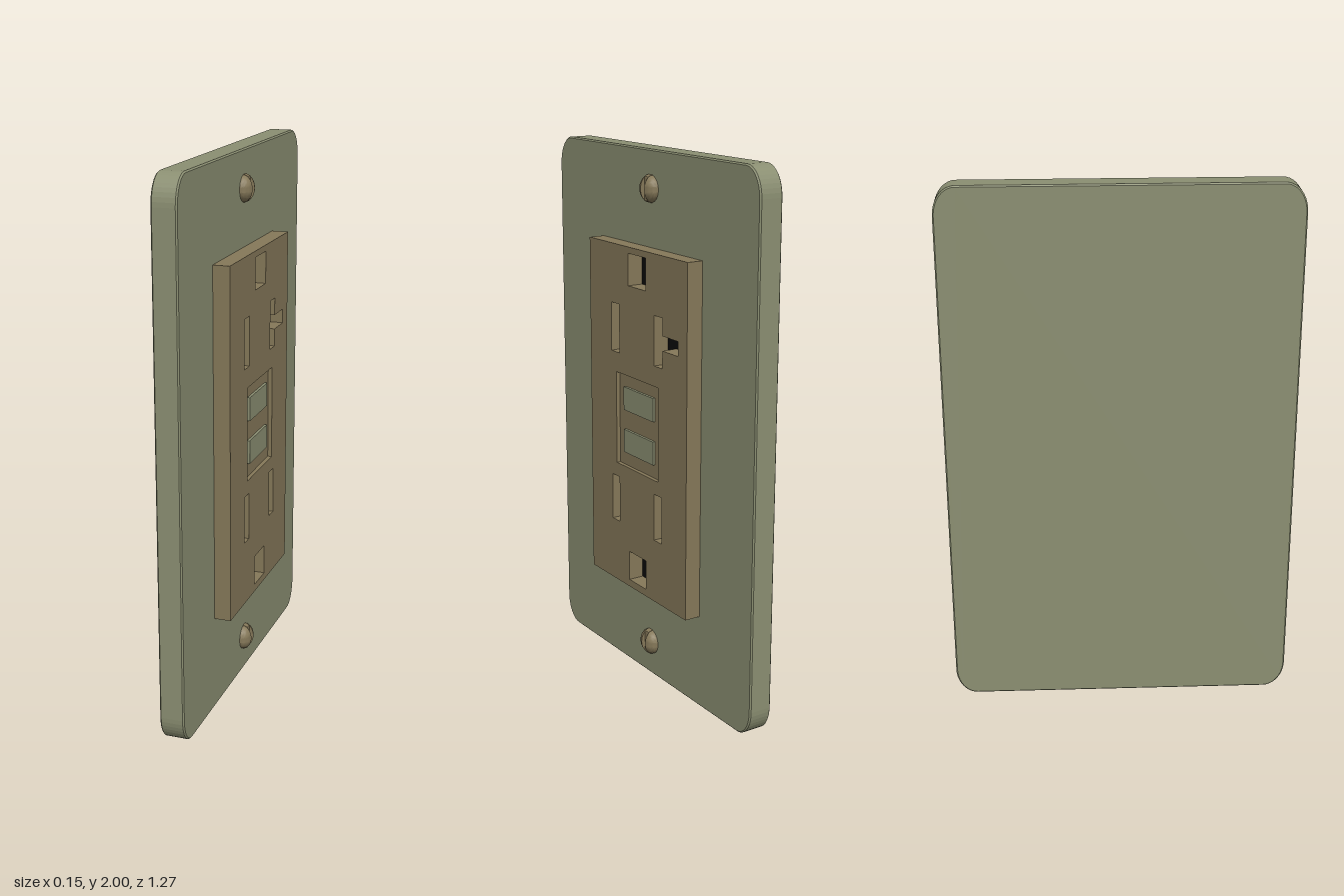
import * as THREE from 'three';
import { toCreasedNormals } from 'three/addons/utils/BufferGeometryUtils.js';
import { ParametricGeometry } from 'three/addons/geometries/ParametricGeometry.js';

const plateMat = new THREE.MeshStandardMaterial({ color: 0x8b8f72 });
const faceMat = new THREE.MeshStandardMaterial({ color: 0x857859 });
const darkMat = new THREE.MeshStandardMaterial({ color: 0x0a0a0a });
const screwMat = new THREE.MeshStandardMaterial({ color: 0x857859, side: THREE.DoubleSide });

// Built lying in XY and facing +z, then turned to face +x
const PLATE_FRONT = 0.015, FACE_FRONT = 0.076;

function polygon(points) {
  return new THREE.Shape(points.map(([x, y]) => new THREE.Vector2(x, y)));
}

function rect(x0, x1, y0, y1) {
  return polygon([[x0, y0], [x1, y0], [x1, y1], [x0, y1]]);
}

function slab(name, shape, z0, z1, material) {
  const geo = new THREE.ExtrudeGeometry(shape, { depth: z1 - z0, bevelEnabled: false });
  geo.translate(0, 0, z0);
  const mesh = new THREE.Mesh(geo, material);
  mesh.name = name;
  return mesh;
}

function wallPlate() {
  const b = 0.005, w = 0.637 - b, y0 = b, y1 = 2 - b, rx = 0.075, ry = 0.1;
  const s = new THREE.Shape();
  s.moveTo(-w + rx, y0);
  s.lineTo(w - rx, y0);
  s.absellipse(w - rx, y0 + ry, rx, ry, -Math.PI / 2, 0, false);
  s.absellipse(w - rx, y1 - ry, rx, ry, 0, Math.PI / 2, false);
  s.absellipse(-w + rx, y1 - ry, rx, ry, Math.PI / 2, Math.PI, false);
  s.absellipse(-w + rx, y0 + ry, rx, ry, Math.PI, Math.PI * 1.5, false);
  const geo = new THREE.ExtrudeGeometry(s, {
    depth: 0.09 - 2 * b, bevelSize: b, bevelThickness: b, bevelSegments: 1, curveSegments: 5,
  });
  geo.translate(0, 0, -0.075 + b);
  const mesh = new THREE.Mesh(geo, plateMat);
  mesh.name = 'wallPlate';
  return mesh;
}

// Domed screw head: two half domes either side of a vertical slot
function screw(y) {
  const r = 0.049, h = 0.036, slot = 0.012, floor = 0.019;
  const group = new THREE.Group();
  group.name = 'screw';
  const dome = toCreasedNormals(new ParametricGeometry((a, b, target) => {
    // the first step closes the slot wall, the rest sweep the dome
    const t = Math.max(0, (a * 9 - 1) / 8);
    const x = slot + (r - slot) * Math.sin(t * Math.PI / 2);
    const rad = a < 0.01 ? 0 : Math.sqrt(Math.max(0, r * r - x * x));
    target.set(x, rad * Math.cos(Math.PI * b), (h / r) * rad * Math.sin(Math.PI * b));
  }, 9, 16), 0.7);
  for (const turn of [0, Math.PI]) {
    const half = new THREE.Mesh(dome, screwMat);
    half.name = 'screwHalf';
    half.rotation.z = turn;
    group.add(half);
  }
  // Slot floor follows the dome outline, cut flat
  const outline = [];
  for (let i = 0; i <= 24; i++) {
    const t = Math.PI * i / 24;
    outline.push([r * Math.cos(t), Math.min(floor, h * Math.sin(t))]);
  }
  const core = slab('screwSlotFloor', polygon(outline), -slot, slot, screwMat);
  // outline x -> y, outline y -> z, depth -> x
  core.geometry.applyMatrix4(new THREE.Matrix4().set(0, 0, 1, 0, 1, 0, 0, 0, 0, 1, 0, 0, 0, 0, 0, 1));
  group.add(core);
  group.position.set(0, y, PLATE_FRONT);
  return group;
}

export function createModel() {
  const model = new THREE.Group();
  model.name = 'wallOutlet';
  const body = new THREE.Group();
  body.name = 'outletBody';
  body.rotation.y = Math.PI / 2;
  model.add(body);

  body.add(wallPlate(), screw(1.863), screw(0.135));

  // Contact openings, including the T-shaped slot
  const openings = [
    rect(-0.055, 0.06, 1.515, 1.632),
    rect(-0.055, 0.06, 0.383, 0.497),
    rect(-0.172, -0.118, 1.255, 1.437),
    rect(-0.172, -0.122, 0.597, 0.775),
    rect(0.114, 0.164, 0.597, 0.775),
    polygon([[0.116, 1.255], [0.168, 1.255], [0.168, 1.32], [0.266, 1.32],
      [0.266, 1.373], [0.168, 1.373], [0.168, 1.437], [0.116, 1.437]]),
  ];
  const panel = rect(-0.14, 0.142, 0.828, 1.18);

  // Raised face with cut openings, dark at the bottom
  const face = rect(-0.322, 0.322, 0.355, 1.655);
  face.holes.push(...openings, panel);
  body.add(slab('outletFace', face, PLATE_FRONT, FACE_FRONT, faceMat));
  for (const o of openings) {
    body.add(slab('slotBottom', o, PLATE_FRONT - 0.002, PLATE_FRONT + 0.002, darkMat));
  }

  // Recessed panel with the two buttons
  body.add(slab('buttonPanel', panel, PLATE_FRONT, 0.061, faceMat));
  for (const y of [0.88, 1.043]) {
    body.add(slab('button', rect(-0.098, 0.1, y, y + 0.088), 0.055, 0.071, plateMat));
  }
  return model;
}
